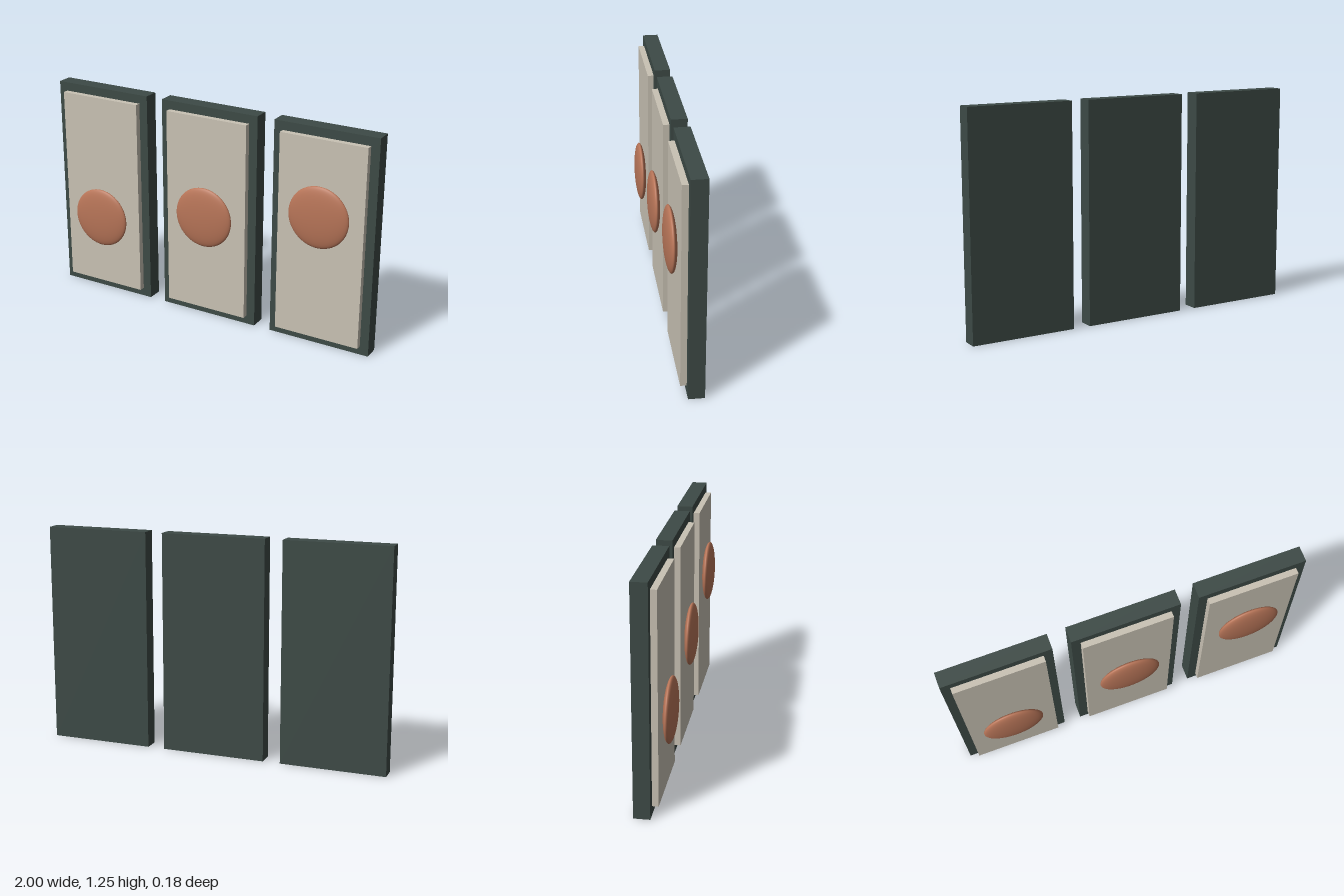
import * as THREE from 'three';

const material = (name, color) => {
  const m = new THREE.MeshStandardMaterial({ color });
  m.name = name;
  return m;
};

export function createModel() {
  const darkGreen = material('dark green', 0x3d4a46);
  const linen = material('linen', 0xc9c2b4);
  const copper = material('copper', 0xb87558);

  const backingGeometry = new THREE.BoxGeometry(0.6, 1.25, 0.088);
  const panelGeometry = new THREE.BoxGeometry(0.5, 1.15, 0.034);
  const discGeometry = new THREE.SphereGeometry(0.175, 48, 32);
  discGeometry.scale(1, 1, 0.18); // flattened into a lens

  const group = new THREE.Group();
  group.name = 'wallTriptych';

  // Three framed panels, the disc rising from one to the next
  ['right', 'centre', 'left'].forEach((side, i) => {
    const panelGroup = new THREE.Group();
    panelGroup.name = `${side}Panel`;
    panelGroup.position.x = (i - 1) * 0.7;

    const add = (name, geometry, mat, y, z) => {
      const mesh = new THREE.Mesh(geometry, mat);
      mesh.name = name;
      mesh.position.set(0, y, z);
      panelGroup.add(mesh);
    };
    add('backingBoard', backingGeometry, darkGreen, 0.625, -0.044);
    add('raisedPanel', panelGeometry, linen, 0.625, 0.017);
    add('disc', discGeometry, copper, 0.475 + i * 0.15, 0.057);
    group.add(panelGroup);
  });
  return group;
}
